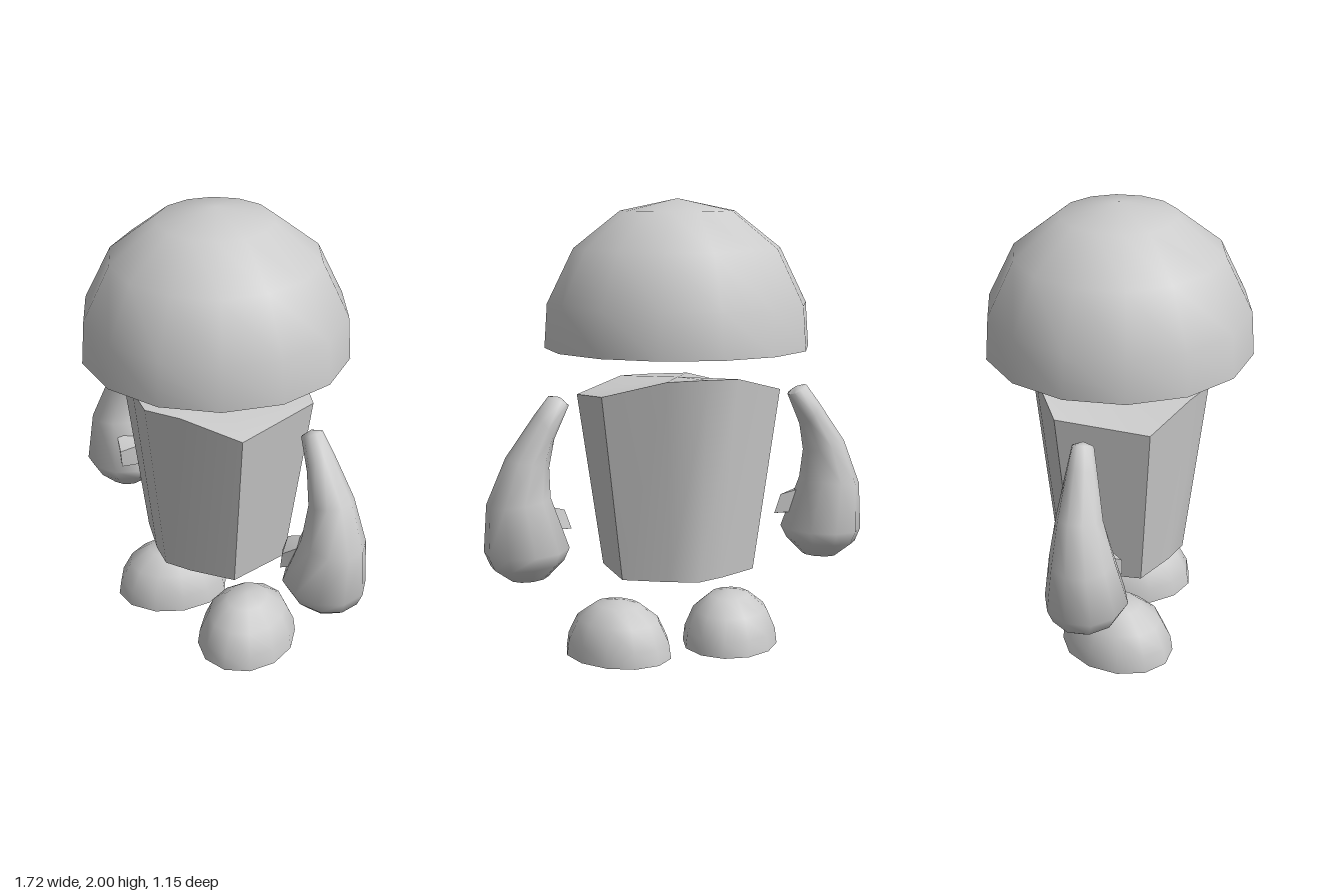
import * as THREE from 'three';
import { toCreasedNormals } from 'three/addons/utils/BufferGeometryUtils.js';

const material = new THREE.MeshStandardMaterial({ color: 0xcccccc });

function part(name, geometry, crease) {
  const mesh = new THREE.Mesh(toCreasedNormals(geometry, crease), material);
  mesh.name = name;
  return mesh;
}

// Closed dome: a turned profile with a flat underside
function dome(name, profile, sides) {
  const points = profile.map(([r, y]) => new THREE.Vector2(r, y));
  return part(name, new THREE.LatheGeometry(points, sides), 0.9);
}

// Skin through rings of points (counter-clockwise seen from the last ring),
// closed by a fan at each end; side = -1 mirrors it in x
function loft(name, rings, startTip, endTip, crease, side = 1) {
  const n = rings[0].length, last = (rings.length - 1) * n;
  const points = [...rings.flat(), startTip, endTip];
  const start = rings.length * n, end = start + 1;
  const index = [];
  const tri = (a, b, c) => index.push(...(side > 0 ? [a, b, c] : [a, c, b]));
  for (let i = 0; i < n; i++) {
    const j = (i + 1) % n;
    for (let k = 0; k < last; k += n) {
      tri(k + i, k + j, k + n + j);
      tri(k + i, k + n + j, k + n + i);
    }
    tri(start, j, i);
    tri(end, last + i, last + j);
  }
  const geometry = new THREE.BufferGeometry();
  const flat = points.flatMap(([x, y, z]) => [x * side, y, z]);
  geometry.setAttribute('position', new THREE.Float32BufferAttribute(flat, 3));
  geometry.setIndex(index);
  return part(name, geometry, crease);
}

// Oval ring spanning an inner and an outer point, with its own depth
function ovalRing([xi, yi, xo, yo, z, depth], sides = 10) {
  return Array.from({ length: sides }, (_, i) => {
    const a = (i + 0.5) / sides * Math.PI * 2;
    const t = (1 + Math.cos(a) / Math.cos(Math.PI / sides)) / 2;
    return [xi + (xo - xi) * t, yi + (yo - yi) * t, z - depth * Math.sin(a)];
  });
}

function createArm(side) {
  const arm = new THREE.Group();
  arm.name = side > 0 ? 'leftArm' : 'rightArm';
  // inner x, inner y, outer x, outer y, middle z, half depth
  const rings = [
    [0.60, 0.40, 0.755, 0.39, -0.02, 0.075],
    [0.535, 0.47, 0.835, 0.45, -0.02, 0.145],
    [0.51, 0.525, 0.86, 0.51, -0.015, 0.175],
    [0.59, 0.75, 0.85, 0.72, -0.025, 0.135],
    [0.595, 0.88, 0.77, 0.92, -0.04, 0.097],
    [0.57, 1.0, 0.645, 1.1, -0.045, 0.068],
    [0.505, 1.14, 0.585, 1.18, -0.05, 0.045],
  ].map((r) => ovalRing(r));
  arm.add(loft('armAndHand', rings, [0.68, 0.378, -0.02], [0.54, 1.175, -0.05], 1.2, side));
  // Thumb: a tapered block pointing inward and forward
  const thumb = [
    [[0.60, 0.60, -0.03], [0.63, 0.60, 0.06], [0.635, 0.70, 0.07], [0.62, 0.71, -0.02]],
    [[0.475, 0.585, 0.03], [0.545, 0.565, 0.11], [0.555, 0.64, 0.11], [0.505, 0.67, 0.03]],
  ];
  arm.add(loft('thumb', thumb, [0.621, 0.65, 0.02], [0.52, 0.615, 0.07], 0.45, side));
  return arm;
}

function createBody() {
  // Half outline: x, z, top height
  const half = [[0.4, -0.2, 1.187], [0.16, -0.33, 1.255], [0, -0.39, 1.265],
    [-0.16, -0.33, 1.255], [-0.4, -0.2, 1.187], [-0.4, 0.2, 1.147],
    [-0.16, 0.33, 1.205], [0, 0.39, 1.2], [0.16, 0.33, 1.205], [0.4, 0.2, 1.147]];
  const bottom = half.map(([x, z]) => [x * 0.75, 0.385, z * 0.75]);
  const top = half.map(([x, z, y]) => [x, y, z]);
  return loft('body', [bottom, top], [0, 0.385, 0], [0, 1.232, 0], 0.8);
}

function createFoot(side) {
  const foot = dome(side > 0 ? 'leftFoot' : 'rightFoot',
    [[0, 0], [1, 0], [0.96, 0.07], [0.78, 0.16], [0.42, 0.225], [0, 0.245]], 12);
  foot.scale.set(0.215, 1, 0.263);
  foot.rotation.y = side * 0.45;
  foot.position.set(side * 0.265, 0, 0.04);
  return foot;
}

export function createModel() {
  const model = new THREE.Group();
  model.name = 'figure';
  model.add(dome('head', [[0, 1.365], [0.575, 1.365], [0.562, 1.555], [0.447, 1.79],
    [0.247, 1.948], [0, 2]], 14));
  model.add(createBody());
  for (const side of [1, -1]) model.add(createArm(side), createFoot(side));
  return model;
}
